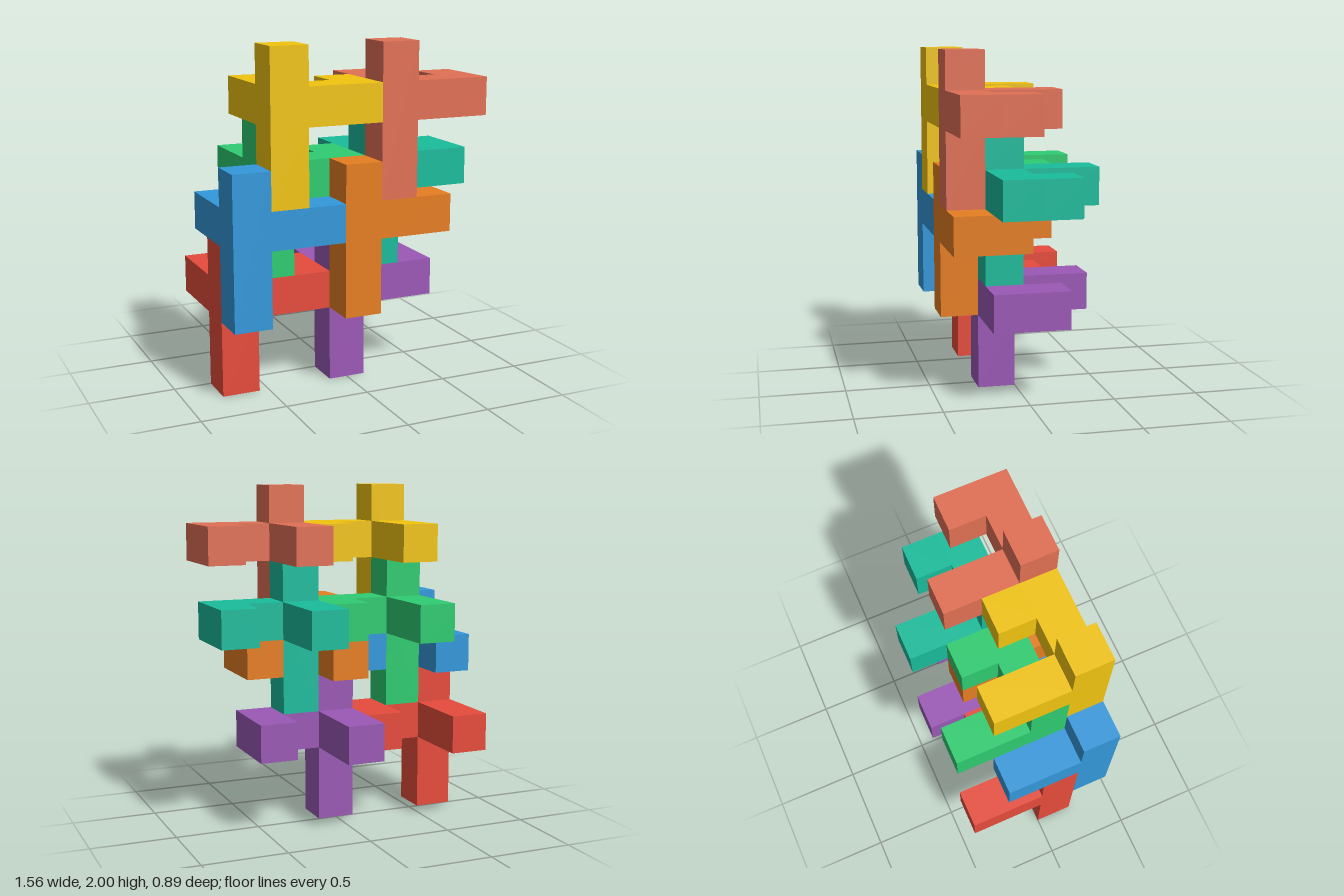
import * as THREE from 'three';

const U = 2 / 9; // edge of one cube cell

// Front of every piece: a post four cells tall with a two-cell side arm
const outline = [[0, 0], [1, 0], [1, 2], [3, 2], [3, 3], [1, 3], [1, 4], [0, 4]];

// One interlocking piece; (x, y, z) is the cell at the foot of its post
function makePiece(name, color, x, y, z) {
  const piece = new THREE.Group();
  piece.name = name;
  const material = new THREE.MeshStandardMaterial({ color, flatShading: true });

  const add = (partName, geometry) => {
    const mesh = new THREE.Mesh(geometry, material);
    mesh.name = partName;
    piece.add(mesh);
  };

  const shape = new THREE.Shape(outline.map(([px, py]) => new THREE.Vector2(px * U, py * U)));
  add('postAndSideArm', new THREE.ExtrudeGeometry(shape, { depth: U, bevelEnabled: false }));

  // Arms reaching backwards from the post and from the end of the side arm
  const backArm = (partName, cellX, length) =>
    add(partName, new THREE.BoxGeometry(U, U, length * U)
      .translate((cellX + 0.5) * U, 2.5 * U, -length * U / 2));
  backArm('longBackArm', 0, 2);
  backArm('shortBackArm', 2, 1);

  piece.position.set((x - 3.5) * U, y * U, (z - 2) * U);
  return piece;
}

export function createModel() {
  const model = new THREE.Group();
  model.name = 'interlockingBlocks';

  // Four tiers of two pieces, alternating between the middle and front layers
  const tiers = [
    { y: 0, x: 0, z: 2, pieces: [['redPiece', 0xe74c3c], ['purplePiece', 0x9b59b6]] },
    { y: 2, x: 0, z: 3, pieces: [['bluePiece', 0x3498db], ['orangePiece', 0xe67e22]] },
    { y: 3, x: 1, z: 2, pieces: [['greenPiece', 0x2ecc71], ['tealPiece', 0x1abc9c]] },
    { y: 5, x: 1, z: 3, pieces: [['yellowPiece', 0xf1c40f], ['coralPiece', 0xe17055]] },
  ];
  for (const { x, y, z, pieces } of tiers) {
    pieces.forEach(([name, color], i) => model.add(makePiece(name, color, x + 3 * i, y, z)));
  }
  return model;
}
